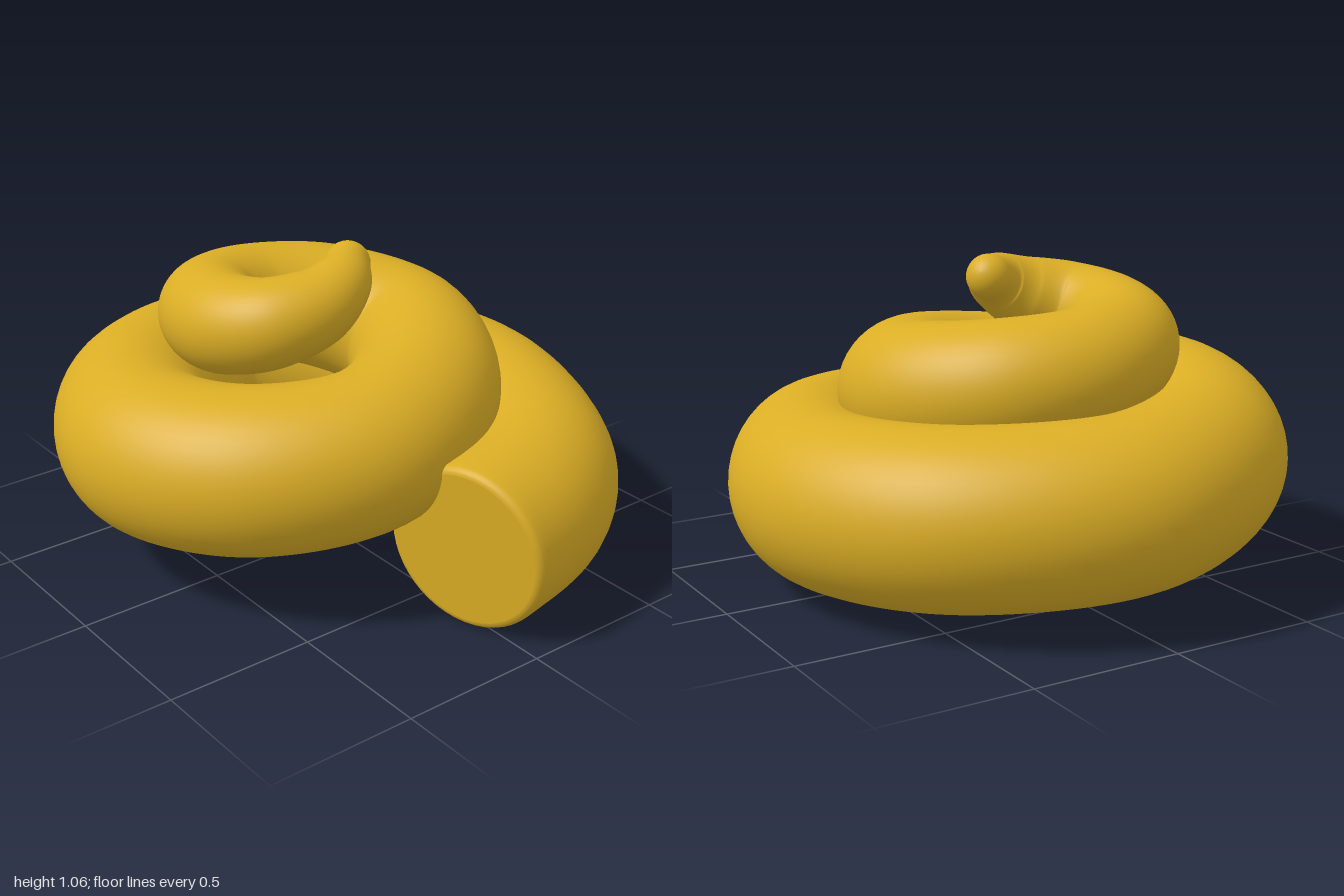
import * as THREE from 'three';

// Spiral stations from the wide mouth to the tip: [x, y, z, tube radius]
const STATIONS = [
  [0.725, 0.285, 0.065, 0.28], [0.635, 0.30, -0.265, 0.285], [0.45, 0.312, -0.465, 0.287],
  [-0.04, 0.328, -0.635, 0.287], [-0.49, 0.355, -0.445, 0.285], [-0.72, 0.39, 0.02, 0.28],
  [-0.54, 0.425, 0.43, 0.278], [-0.12, 0.462, 0.64, 0.274], [0.23, 0.495, 0.5, 0.268],
  [0.395, 0.535, 0.17, 0.26], [0.27, 0.59, -0.15, 0.252], [-0.05, 0.645, -0.33, 0.235],
  [-0.33, 0.7, -0.19, 0.218], [-0.42, 0.745, 0.06, 0.2], [-0.34, 0.79, 0.26, 0.182],
  [-0.13, 0.83, 0.345, 0.165], [0.03, 0.868, 0.29, 0.148], [0.09, 0.91, 0.15, 0.128],
  [0.075, 0.96, 0.04, 0.1], [0.015, 0.992, -0.033, 0.075],
];
const SIDES = 48;
const STEPS = 260;

const path = new THREE.CatmullRomCurve3(STATIONS.map(s => new THREE.Vector3(s[0], s[1], s[2])));
const radii = new THREE.SplineCurve(STATIONS.map((s, i) => new THREE.Vector2(i, s[3])));

// One round cross-section at t, pushed along the path by shift
function ring(t, scale = 1, shift = 0) {
  const tangent = path.getTangent(t);
  const side = tangent.clone().cross(new THREE.Vector3(0, 1, 0)).normalize();
  const up = side.clone().cross(tangent);
  const r = radii.getPoint(t).y * scale;
  const center = path.getPoint(t).addScaledVector(tangent, shift);
  const points = [];
  for (let j = 0; j < SIDES; j++) {
    const a = (j / SIDES) * Math.PI * 2;
    points.push(center.clone().addScaledVector(side, r * Math.cos(a)).addScaledVector(up, r * Math.sin(a)));
  }
  return points;
}

// Smooth closed skin through a list of rings
function skin(rings) {
  const index = [];
  for (let i = 0; i < rings.length - 1; i++) {
    for (let j = 0; j < SIDES; j++) {
      const k = (j + 1) % SIDES;
      const a = i * SIDES + j, b = i * SIDES + k;
      const c = a + SIDES, d = b + SIDES;
      index.push(a, c, b, b, c, d);
    }
  }
  const geometry = new THREE.BufferGeometry().setFromPoints(rings.flat());
  geometry.setIndex(index);
  geometry.computeVertexNormals();
  return geometry;
}

// Flat disc closing the first ring
function disc(points) {
  const center = points.reduce((sum, p) => sum.add(p), new THREE.Vector3()).divideScalar(SIDES);
  const index = [];
  for (let j = 0; j < SIDES; j++) index.push(0, 1 + j, 1 + ((j + 1) % SIDES));
  const geometry = new THREE.BufferGeometry().setFromPoints([center, ...points]);
  geometry.setIndex(index);
  geometry.computeVertexNormals();
  return geometry;
}

export function createModel() {
  const group = new THREE.Group();
  group.name = 'spiralShell';
  const gold = new THREE.MeshStandardMaterial({ color: 0xdaad25 });
  gold.name = 'golden yellow';

  const rings = [];
  // Rounded rim of the mouth
  const bevel = 0.03;
  for (let i = 0; i < 5; i++) {
    const a = (i / 5) * Math.PI / 2;
    rings.push(ring(0, 0.91 + 0.09 * Math.sin(a), bevel * (1 - Math.cos(a))));
  }
  // Coiled tube
  for (let i = 2; i <= STEPS; i++) rings.push(ring(i / STEPS));
  // Rounded tip
  const tipRadius = STATIONS[STATIONS.length - 1][3];
  for (let i = 1; i <= 10; i++) {
    const a = (i / 10) * Math.PI / 2;
    rings.push(ring(1, Math.max(Math.cos(a), 0.001), tipRadius * Math.sin(a)));
  }

  const coil = new THREE.Mesh(skin(rings), gold);
  coil.name = 'coil';
  const mouth = new THREE.Mesh(disc(rings[0]), gold);
  mouth.name = 'mouth';
  group.add(coil, mouth);
  return group;
}
